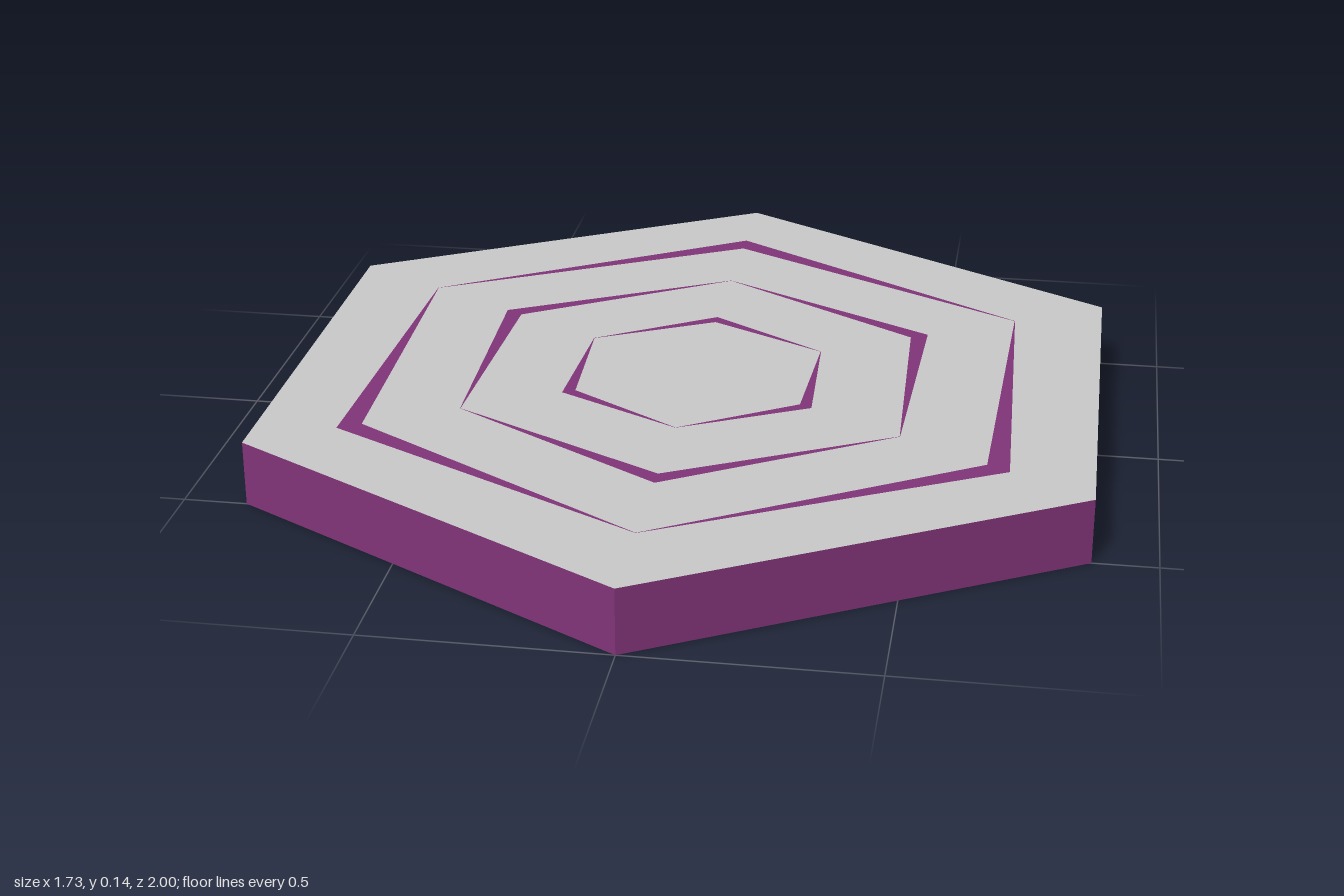
import * as THREE from 'three';

const HEIGHT = 0.14;
const grey = new THREE.MeshStandardMaterial({ color: 0xcccccc, flatShading: true });
const purple = new THREE.MeshStandardMaterial({ color: 0x82357a, flatShading: true });

// Hexagon corners; radiusAt(k) gives the radius of corner k, starting at the back
function hexagon(radiusAt) {
  return Array.from({ length: 6 }, (_, k) => {
    const a = k * Math.PI / 3, r = radiusAt(k);
    return new THREE.Vector2(Math.sin(a) * r, Math.cos(a) * r);
  });
}

// Rings on each face: mid radius, half width, and which corners are wide on top
const rings = [
  { radius: 0.775, top: 0.027, bottom: 0.0125, wide: 0 },
  { radius: 0.535, top: 0.021, bottom: 0.0115, wide: 1 },
  { radius: 0.294, top: 0.015, bottom: 0.01, wide: 0 },
];

// One flat face of the slab: grey plates with purple inlaid bands between them
function face(name, halfWidth) {
  const group = new THREE.Group();
  group.name = name;
  const add = (partName, outer, inner, material) => {
    const shape = new THREE.Shape(outer);
    if (inner) shape.holes.push(new THREE.Path(inner));
    const mesh = new THREE.Mesh(new THREE.ShapeGeometry(shape), material);
    mesh.name = partName;
    group.add(mesh);
  };
  let edge = hexagon(() => 1);
  rings.forEach((ring, i) => {
    const outer = hexagon(k => ring.radius + halfWidth(ring, k));
    const inner = hexagon(k => ring.radius - halfWidth(ring, k));
    add(`plate${i + 1}`, edge, outer, grey);
    add(`inlayBand${i + 1}`, outer, inner, purple);
    edge = inner;
  });
  add('centrePlate', edge, null, grey);
  return group;
}

export function createModel() {
  const model = new THREE.Group();
  model.name = 'hexagonalTile';

  // Rim
  const rim = new THREE.Mesh(new THREE.CylinderGeometry(1, 1, HEIGHT, 6, 1, true), purple);
  rim.name = 'rim';
  rim.position.y = HEIGHT / 2;
  model.add(rim);

  // Top: bands taper to points at every other corner
  const top = face('topFace', (ring, k) => (k % 2 === ring.wide ? ring.top : 0.0005));
  top.rotation.x = -Math.PI / 2;
  top.position.y = HEIGHT;
  model.add(top);

  // Underside: bands of even width
  const bottom = face('bottomFace', ring => ring.bottom);
  bottom.rotation.x = Math.PI / 2;
  model.add(bottom);

  return model;
}
